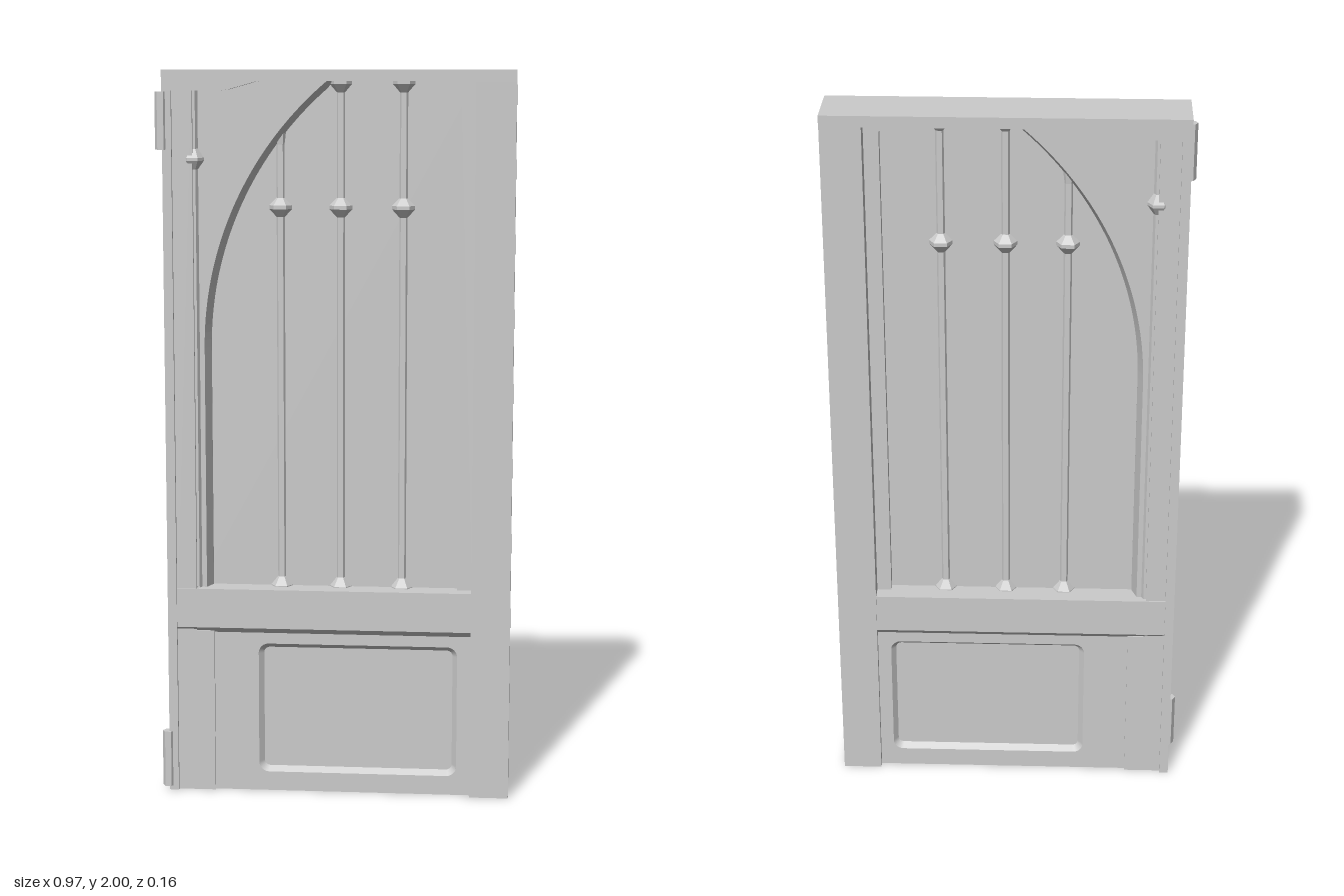
import * as THREE from 'three';

const CZ = -0.003; // mid-plane of the door leaf
const mat = new THREE.MeshStandardMaterial({ color: 0xcccccc, flatShading: true });
const matOpen = new THREE.MeshStandardMaterial({ color: 0xcccccc, flatShading: true, side: THREE.DoubleSide });

export function createModel() {
  const group = new THREE.Group();

  const add = (name, geo, x = 0, y = 0, z = CZ, material = mat) => {
    const mesh = new THREE.Mesh(geo, material);
    mesh.name = name;
    mesh.position.set(x, y, z);
    group.add(mesh);
    return mesh;
  };
  // box from edges, symmetric about the mid-plane (h = half depth)
  const slab = (name, x0, x1, y0, y1, h) =>
    add(name, new THREE.BoxGeometry(x1 - x0, y1 - y0, 2 * h), (x0 + x1) / 2, (y0 + y1) / 2);
  // extruded outline, symmetric about the mid-plane
  const plate = (name, shape, h, bevel = 0, bevelDepth = 0) => {
    const geo = new THREE.ExtrudeGeometry(shape, {
      depth: 2 * (h - bevelDepth), curveSegments: 20, bevelEnabled: bevel > 0, bevelSegments: 1,
      bevelSize: bevel, bevelOffset: 0, bevelThickness: bevelDepth,
    });
    geo.translate(0, 0, -(h - bevelDepth));
    return add(name, geo);
  };
  const polygon = (pts) => new THREE.Shape(pts.map(([x, y]) => new THREE.Vector2(x, y)));
  const roundedRect = (x0, x1, y0, y1, r) => {
    const s = new THREE.Shape();
    s.absarc(x1 - r, y0 + r, r, -Math.PI / 2, 0);
    s.absarc(x1 - r, y1 - r, r, 0, Math.PI / 2);
    s.absarc(x0 + r, y1 - r, r, Math.PI / 2, Math.PI);
    s.absarc(x0 + r, y0 + r, r, Math.PI, Math.PI * 1.5);
    s.closePath();
    return s;
  };
  // six-sided turned part from [radius, y] points
  const turned = (name, profile, x, z = CZ) =>
    add(name, new THREE.LatheGeometry(profile.map(([r, y]) => new THREE.Vector2(r, y)), 6, Math.PI / 6), x, 0, z);

  // Latch-side stile: a shell open at the bottom
  const stile = new THREE.BoxGeometry(0.108, 1.97, 0.152);
  const idx = Array.from(stile.index.array);
  idx.splice(18, 6);
  stile.setIndex(idx);
  stile.clearGroups();
  add('latchStile', stile, 0.429, 0.985, CZ, matOpen);

  // Hinge-side stile in two steps
  slab('hingeStileEdge', -0.465, -0.44, 0, 1.97, 0.076);
  slab('hingeStile', -0.44, -0.385, 0.46, 1.96, 0.066);
  slab('lowerHingeStile', -0.44, -0.337, 0, 0.46, 0.066);

  // Top rail with a dropped corner over the hinge side
  plate('topRail', polygon([
    [-0.465, 2], [-0.465, 1.945], [-0.31, 1.945], [-0.285, 1.948], [-0.215, 1.968],
    [-0.2, 1.97], [0.483, 1.97], [0.483, 2],
  ]), 0.08);

  // Middle rail with a chamfered underside
  slab('middleRail', -0.44, 0.376, 0.47, 0.58, 0.071);
  const lip = new THREE.ExtrudeGeometry(polygon([
    [-0.071, 0.47], [-0.058, 0.455], [0.058, 0.455], [0.071, 0.47],
  ]), { depth: 0.816, bevelEnabled: false });
  lip.rotateY(Math.PI / 2);
  add('middleRailMoulding', lip, -0.44, 0);

  // Lower panel with a sunken field on both faces
  const outer = roundedRect(-0.214, 0.338, 0.054, 0.424, 0.028);
  const inner = roundedRect(-0.2, 0.325, 0.068, 0.411, 0.016);
  const panel = polygon([[-0.34, 0], [0.376, 0], [0.376, 0.456], [-0.34, 0.456]]);
  panel.holes.push(outer);
  plate('lowerPanel', panel, 0.057);
  plate('sunkenField', inner, 0.041);
  const a = outer.getPoints(6), b = inner.getPoints(6);
  for (const side of [1, -1]) {
    const pos = [], index = [];
    for (let i = 0; i < a.length; i++) {
      pos.push(a[i].x, a[i].y, side * 0.057, b[i].x, b[i].y, side * 0.041);
      const p = 2 * i, q = 2 * ((i + 1) % a.length);
      index.push(p, q, p + 1, q, q + 1, p + 1);
    }
    const bevel = new THREE.BufferGeometry();
    bevel.setAttribute('position', new THREE.Float32BufferAttribute(pos, 3));
    bevel.setIndex(index);
    bevel.computeVertexNormals();
    add('fieldBevel', bevel, 0, 0, CZ, matOpen);
  }

  // Thin upper panel and the raised strip beside the latch stile
  slab('upperPanel', -0.39, 0.376, 0.57, 1.975, 0.005);
  plate('latchStrip', polygon([
    [0.376, 0.575], [0.376, 1.975], [0.295, 1.975], [0.3, 1.966], [0.325, 1.958], [0.335, 1.94], [0.335, 0.575],
  ]), 0.03);

  // Raised spandrel whose bevelled edge forms the half arch
  const spandrel = new THREE.Shape();
  const cx = 0.582, cy = 1.25, r = 0.941;
  spandrel.moveTo(-0.395, 0.57);
  spandrel.lineTo(cx - r, 0.57);
  spandrel.lineTo(cx - r, cy);
  spandrel.absarc(cx, cy, r, Math.PI, Math.PI - Math.asin(0.725 / r), true);
  spandrel.lineTo(-0.395, 1.975);
  plate('archSpandrel', spandrel, 0.046, 0.014, 0.038);

  // Slim half posts with a bead beside the hinge stile, front and back
  for (const side of [1, -1]) {
    turned('hingePost', [
      [0.014, 0.575], [0.014, 1.735], [0.03, 1.758], [0.03, 1.766], [0.014, 1.79], [0.014, 1.96],
    ], -0.385, CZ + side * 0.044);
  }

  // Three columns with foot, bead and cap; the first dies into the arch
  const foot = [[0.033, 0.575], [0.033, 0.582], [0.014, 0.606]];
  const bead = [[0.014, 1.605], [0.034, 1.627], [0.034, 1.637], [0.014, 1.657]];
  const cap = [[0.014, 1.94], [0.033, 1.962], [0.033, 1.972]];
  turned('column', [...foot, ...bead, [0.014, 1.8], [0.02, 1.85]], -0.153);
  for (const x of [0.011, 0.181]) turned('column', [...foot, ...bead, ...cap], x);

  // Hinge knuckles
  for (const [y0, y1] of [[0.012, 0.17], [1.788, 1.942]]) {
    add('hinge', new THREE.CylinderGeometry(0.017, 0.017, y1 - y0, 6, 1, false, Math.PI / 6),
      -0.468, (y0 + y1) / 2, 0.065);
  }
  return group;
}
